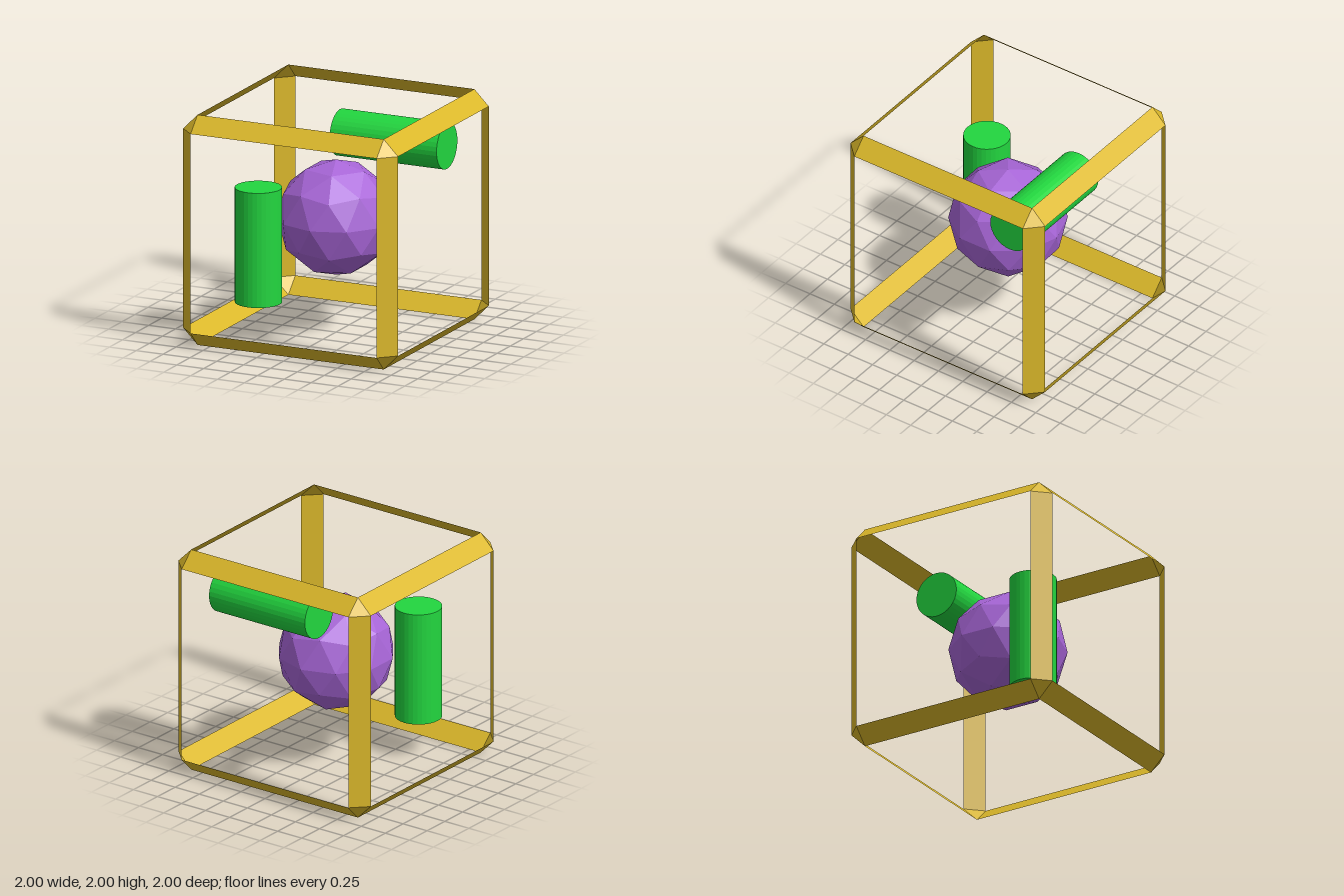
import * as THREE from 'three';

const INNER = 0.866; // where the bevel of the unit half-cube begins

function createFrame() {
  const frame = new THREE.Group();
  frame.name = 'frame';
  const material = new THREE.MeshStandardMaterial({ color: 0xdcb92a, flatShading: true, side: THREE.DoubleSide });

  // Twelve flat strips along the bevelled cube edges, four per axis
  const turns = { x: [0, 0], y: [0, Math.PI / 2], z: [Math.PI / 2, 0] };
  for (const [axis, [ry, rz]] of Object.entries(turns)) {
    for (let k = 0; k < 4; k++) {
      const strip = new THREE.PlaneGeometry(2 * INNER, (1 - INNER) * Math.SQRT2);
      strip.translate(0, 0, (1 + INNER) / Math.SQRT2);
      strip.rotateX(Math.PI / 4 + k * Math.PI / 2).rotateY(ry).rotateZ(rz);
      const mesh = new THREE.Mesh(strip, material);
      mesh.name = `frameEdge_${axis}${k + 1}`;
      frame.add(mesh);
    }
  }

  // Eight triangular corners joining the strips
  for (const x of [-1, 1]) for (const y of [-1, 1]) for (const z of [-1, 1]) {
    const points = [[1, INNER, INNER], [INNER, 1, INNER], [INNER, INNER, 1]]
      .map(([a, b, c]) => new THREE.Vector3(a * x, b * y, c * z));
    if (x * y * z < 0) points.reverse();
    const corner = new THREE.BufferGeometry().setFromPoints(points);
    corner.computeVertexNormals();
    const mesh = new THREE.Mesh(corner, material);
    mesh.name = 'frameCorner';
    frame.add(mesh);
  }
  frame.position.y = 1;
  return frame;
}

export function createModel() {
  const model = new THREE.Group();
  model.name = 'framedShapes';
  model.add(createFrame());

  // Faceted ball, turned so that a five-sided vertex points straight up
  const ballGeometry = new THREE.IcosahedronGeometry(0.5, 1);
  ballGeometry.rotateZ(-Math.atan(2 / (1 + Math.sqrt(5))));
  const ball = new THREE.Mesh(ballGeometry, new THREE.MeshStandardMaterial({ color: 0xa866d8, flatShading: true }));
  ball.name = 'ball';
  ball.position.y = 1;
  model.add(ball);

  // Two equal cylinders, one upright and one lying along x
  const green = new THREE.MeshStandardMaterial({ color: 0x22d63f, flatShading: true });
  const cylinderGeometry = new THREE.CylinderGeometry(0.199, 0.199, 0.996, 32);
  const addCylinder = (name, x, y, z, tilt) => {
    const cylinder = new THREE.Mesh(cylinderGeometry, green);
    cylinder.name = name;
    cylinder.position.set(x, y, z);
    cylinder.rotation.z = tilt;
    model.add(cylinder);
  };
  addCylinder('uprightCylinder', -0.457, 0.843, 0.543, 0);
  addCylinder('lyingCylinder', 0.262, 1.569, -0.56, Math.PI / 2);

  return model;
}
